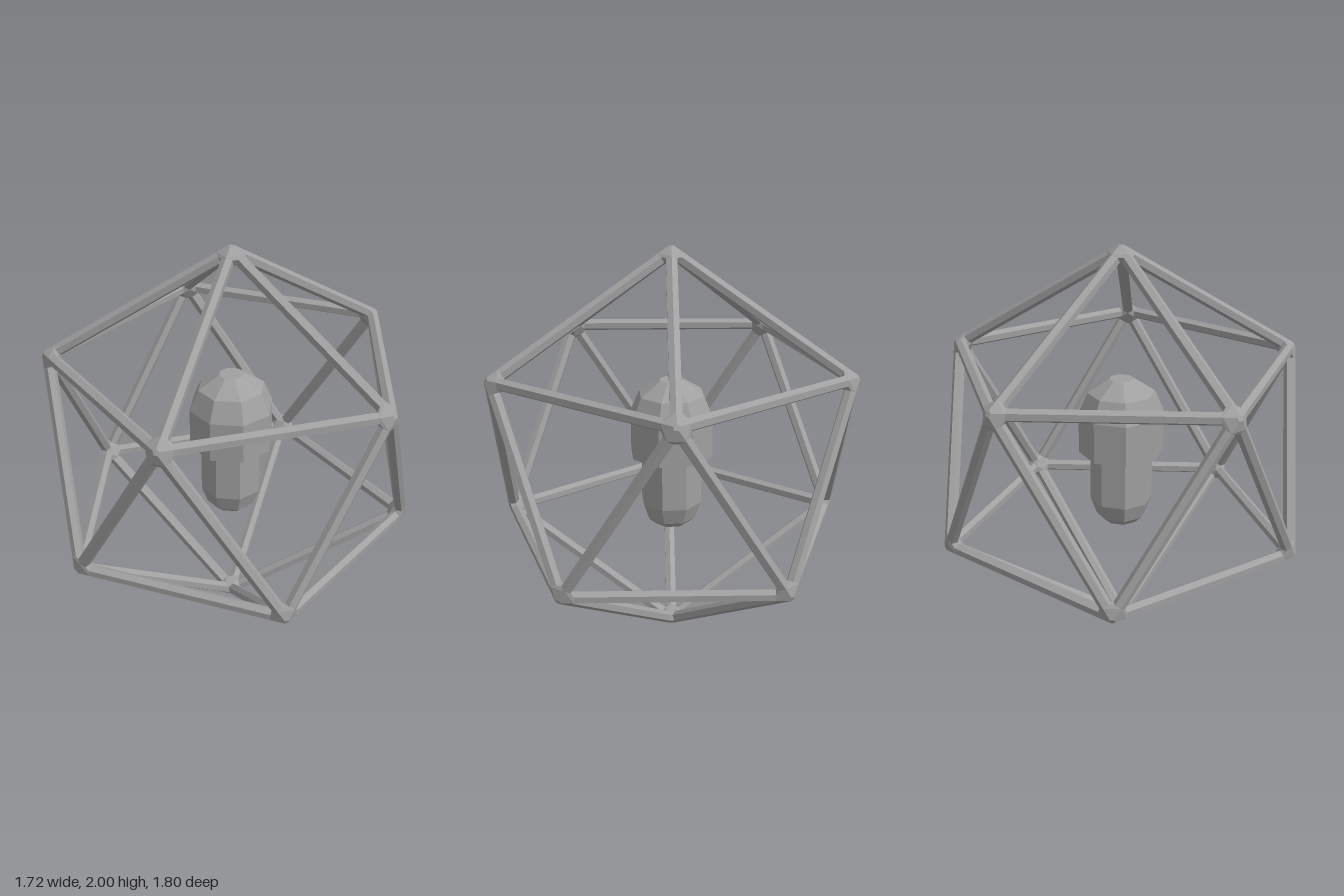
import * as THREE from 'three';
import { ConvexGeometry } from 'three/addons/geometries/ConvexGeometry.js';

const R = 0.9745;    // radius of the cage at the strut axes
const ROD = 0.03;    // strut radius
const JOINT = 0.06;  // distance from a corner to where its struts begin

export function createModel() {
  const model = new THREE.Group();
  const grey = new THREE.MeshStandardMaterial({ color: 0xa0a0a0, flatShading: true });
  grey.name = 'grey';

  function add(geometry, name, parent) {
    const mesh = new THREE.Mesh(geometry, grey);
    mesh.name = name;
    parent.add(mesh);
    return mesh;
  }

  // Twelve corners of the cage: two poles and two staggered rings of five
  const cage = new THREE.Group();
  cage.name = 'cage';
  cage.position.y = 1;
  model.add(cage);
  const corners = [new THREE.Vector3(0, R, 0), new THREE.Vector3(0, -R, 0)];
  const h = R / Math.sqrt(5);
  for (let i = 0; i < 5; i++) {
    const a = i * Math.PI * 2 / 5;
    corners.push(new THREE.Vector3(Math.sin(a) * 2 * h, -h, Math.cos(a) * 2 * h));
    corners.push(new THREE.Vector3(-Math.sin(a) * 2 * h, h, -Math.cos(a) * 2 * h));
  }
  const edge = R * 1.05146;

  // Six-sided struts, each with a ridge facing outward
  const rodGeometry = new THREE.CylinderGeometry(ROD, ROD, edge - 2 * JOINT, 6, 1, true);
  const jointPoints = corners.map(() => []);
  corners.forEach((a, i) => corners.forEach((b, j) => {
    if (j <= i || a.distanceTo(b) > edge * 1.1) return;
    const dir = b.clone().sub(a).normalize();
    const out = a.clone().add(b).normalize();
    const side = dir.clone().cross(out);
    const strut = add(rodGeometry, 'strut', cage);
    strut.quaternion.setFromRotationMatrix(new THREE.Matrix4().makeBasis(side, dir, out));
    strut.position.copy(a).add(b).multiplyScalar(0.5);

    // Strut ends and ridge tips that the two joints must enclose
    for (const [k, sign] of [[i, 1], [j, -1]]) {
      const end = corners[k].clone().addScaledVector(dir, sign * JOINT);
      for (let s = 0; s < 6; s++) {
        const t = s * Math.PI / 3;
        jointPoints[k].push(end.clone()
          .addScaledVector(side, ROD * Math.sin(t))
          .addScaledVector(out, ROD * Math.cos(t)));
      }
      jointPoints[k].push(corners[k].clone().addScaledVector(out, ROD));
    }
  }));

  // Faceted joints with a small flat tip
  for (const points of jointPoints) add(new ConvexGeometry(points), 'joint', cage);

  // Eight-sided core: narrow body under a wider domed cap
  const lathe = (profile) => new THREE.LatheGeometry(
    profile.map(([r, y]) => new THREE.Vector2(r, y)), 8);
  add(lathe([[0, 0.6], [0.085, 0.6], [0.125, 0.635], [0.155, 0.72], [0.155, 0.98]]),
    'coreBody', model);
  add(lathe([[0, 0.975], [0.21, 0.975], [0.21, 1.18], [0.165, 1.285], [0.06, 1.353], [0, 1.353]]),
    'coreCap', model);

  return model;
}
